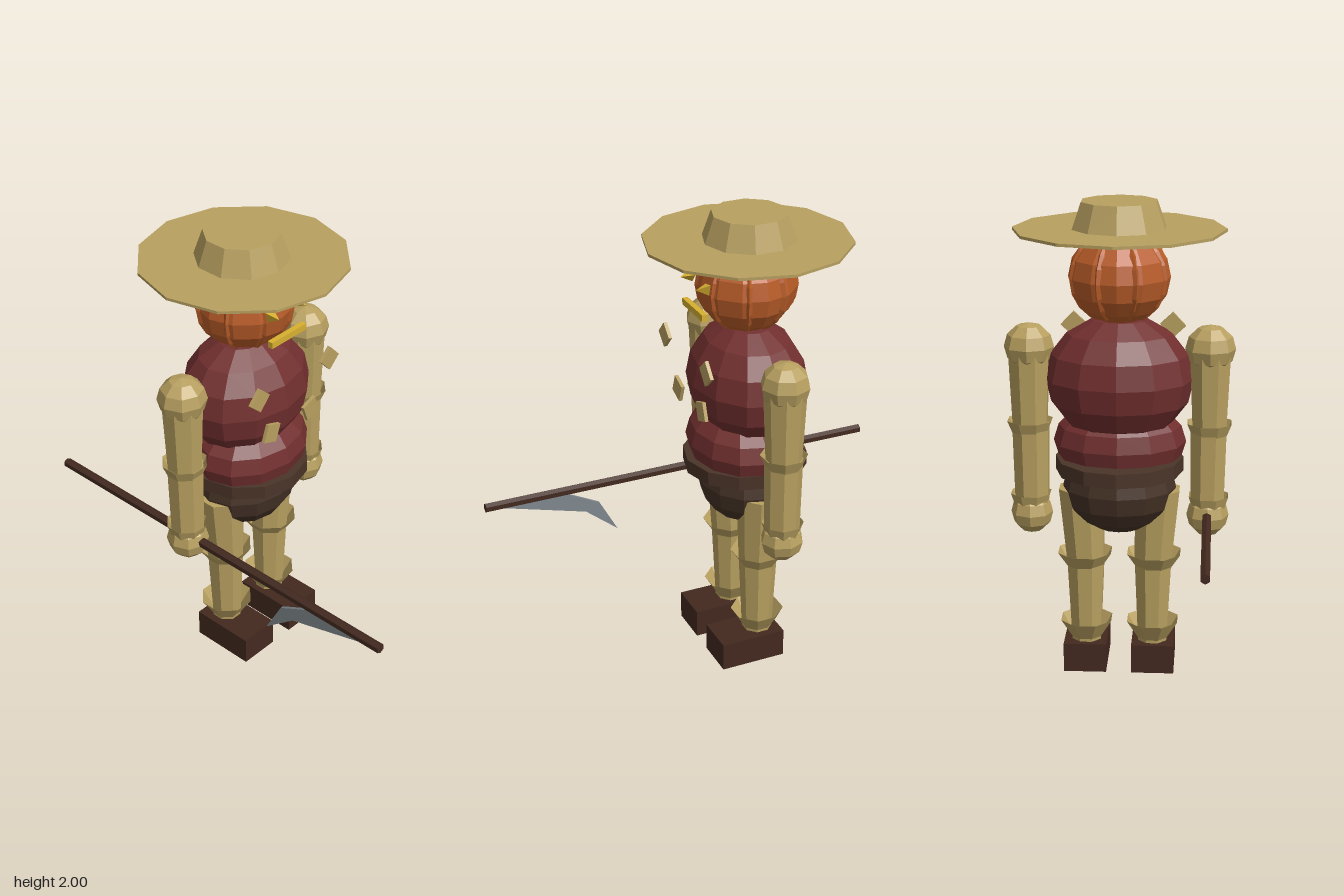
import * as THREE from 'three';

const mat = (name, color, double = false) => {
  const m = new THREE.MeshStandardMaterial({ color, flatShading: true });
  m.name = name;
  if (double) m.side = THREE.DoubleSide;
  return m;
};

export function createModel() {
  const straw = mat('straw', 0xb8a060, true);
  const shirt = mat('shirt red', 0x722f2f);
  const orange = mat('pumpkin orange', 0xb85c28);
  const trousers = mat('trouser brown', 0x453226);
  const leather = mat('leather brown', 0x4a3428);
  const wood = mat('dark wood', 0x43291f);
  const steel = mat('blade grey', 0x7f878d);
  const yellow = mat('glow yellow', 0xd8b030);

  const model = new THREE.Group();
  model.name = 'scarecrow';
  const Z = -0.15; // depth of the body axis

  const add = (name, geo, material, x, y, z, parent = model) => {
    const mesh = new THREE.Mesh(geo, material);
    mesh.name = name;
    mesh.position.set(x, y, z);
    parent.add(mesh);
    return mesh;
  };
  const ball = (name, material, x, y, z, rx, ry, rz, seg = 10, rows = 7) =>
    add(name, new THREE.SphereGeometry(1, seg, rows).scale(rx, ry, rz), material, x, y, z);
  // Tapered limb section between two heights, with its axis allowed to lean in x
  const limb = (name, x0, y0, r0, x1, y1, r1, open = false) => {
    const h = y1 - y0;
    const geo = new THREE.CylinderGeometry(r1, r0, h, 8, 1, open);
    geo.rotateY(Math.PI / 8);
    const p = geo.attributes.position;
    for (let i = 0; i < p.count; i++) {
      p.setX(i, p.getX(i) + (x1 - x0) * (p.getY(i) / h));
    }
    geo.computeVertexNormals();
    return add(name, geo, straw, (x0 + x1) / 2, (y0 + y1) / 2, Z + 0.005);
  };

  // Torso
  ball('chest', shirt, 0, 1.275, Z, 0.305, 0.265, 0.243, 12, 8);
  ball('belly', shirt, 0, 1.0, -0.122, 0.275, 0.18, 0.222, 12, 8);
  ball('pelvis', trousers, 0, 0.81, -0.147, 0.235, 0.195, 0.2, 12, 8);
  add('belt', new THREE.CylinderGeometry(0.265, 0.265, 0.06, 12), leather, 0, 0.91, -0.145);

  // Pumpkin head with raised ribs
  const headY = 1.695;
  ball('pumpkinHead', orange, 0, headY, -0.147, 0.207, 0.193, 0.207, 12, 8);
  for (let i = 0; i < 8; i++) {
    const rib = add('pumpkinRib', new THREE.TorusGeometry(0.196, 0.016, 4, 10, Math.PI)
      .rotateZ(-Math.PI / 2).scale(1, 0.93, 1), orange, 0, headY, -0.147);
    rib.rotation.y = (i + 0.5) * Math.PI / 4;
  }

  // Face
  for (const s of [-1, 1]) {
    const eye = new THREE.ConeGeometry(0.03, 0.055, 3).rotateX(Math.PI / 2);
    add('eye', eye, yellow, s * 0.077, 1.738, 0.085).rotation.z =
      eyeRoll(s);
  }
  add('mouth', new THREE.BoxGeometry(0.2, 0.028, 0.024), yellow, 0, 1.622, 0.083);

  // Straw hat
  add('hatBrim', new THREE.CylinderGeometry(0.43, 0.43, 0.012, 12), straw, 0, 1.885, Z);
  add('hatCrown', new THREE.CylinderGeometry(0.157, 0.197, 0.115, 10), straw, 0, 1.9425, -0.157);

  for (const s of [-1, 1]) {
    // Arms
    const ax = s * 0.37;
    ball('shoulder', straw, ax, 1.4, Z + 0.005, 0.103, 0.1, 0.103, 8, 6);
    limb('upperArm', s * 0.37, 1.07, 0.075, s * 0.37, 1.4, 0.09);
    limb('lowerArm', s * 0.365, 0.74, 0.074, s * 0.367, 1.07, 0.08);
    limb('elbowCuff', ax, 1.03, 0.073, ax, 1.09, 0.098, true);
    limb('wristCuff', ax, 0.72, 0.07, ax, 0.775, 0.088, true);
    ball('hand', straw, s * 0.367, 0.69, Z + 0.005, 0.088, 0.09, 0.092, 8, 6);

    // Legs
    limb('thigh', s * 0.142, 0.48, 0.083, s * 0.158, 0.8, 0.1);
    limb('shin', s * 0.14, 0.12, 0.065, s * 0.142, 0.49, 0.083);
    limb('kneeCuff', s * 0.145, 0.46, 0.08, s * 0.145, 0.52, 0.12, true);
    limb('ankleCuff', s * 0.14, 0.12, 0.055, s * 0.14, 0.215, 0.115, true);
    add('boot', new THREE.BoxGeometry(0.18, 0.125, 0.29), wood, s * 0.143, 0.0625, -0.087);

    // Loose straw patches in front of the shirt
    const patch = () => new THREE.BoxGeometry(0.075, 0.08, 0.015);
    add('upperPatch', patch(), straw, s * 0.21, 1.435, 0.126).rotation.z = s * 0.75;
    add('lowerPatch', patch(), straw, s * 0.12, 1.222, 0.107).rotation.z = s * 0.35;
  }

  // Scythe held in the right hand
  const scythe = new THREE.Group();
  scythe.name = 'scythe';
  scythe.position.set(-0.365, 0, 0);
  model.add(scythe);
  add('handle', new THREE.CylinderGeometry(0.021, 0.021, 1.815, 6).rotateX(Math.PI / 2),
    wood, 0, 0.702, 0, scythe);
  const outline = [[0.84, 0.69], [0.54, 0.687], [0.39, 0.61], [0.31, 0.46], [0.455, 0.58]]
    .map(([z, y]) => new THREE.Vector2(-z, y));
  const blade = new THREE.ExtrudeGeometry(new THREE.Shape(outline), { depth: 0.014, bevelEnabled: false });
  blade.translate(0, 0, -0.007).rotateY(Math.PI / 2);
  add('blade', blade, steel, 0, 0, 0, scythe);

  return model;
}

// Points the triangular eyes downward with a slight scowl
function eyeRoll(s) {
  return s * 0.2;
}
